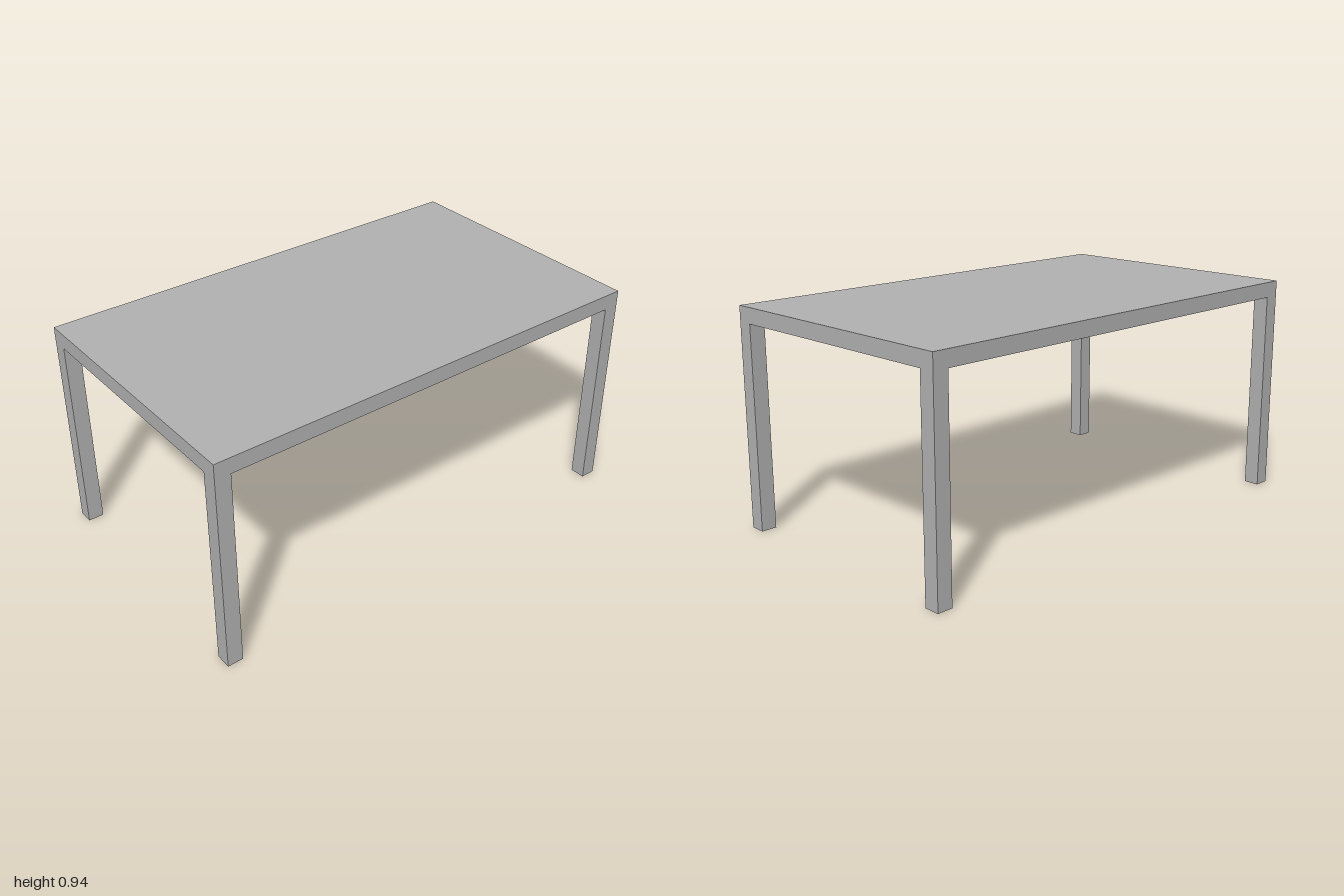
import * as THREE from 'three';

export function createModel() {
  const model = new THREE.Group();
  model.name = 'table';

  const grey = new THREE.MeshStandardMaterial({ color: 0xb2b2b2 });
  grey.name = 'grey';

  const width = 1.166, depth = 2, height = 0.935, thick = 0.067;
  const legHeight = height - thick;

  // Flat slab top
  const top = new THREE.Mesh(new THREE.BoxGeometry(width, thick, depth), grey);
  top.name = 'tableTop';
  top.position.y = height - thick / 2;
  model.add(top);

  // Four square legs, flush with the corners of the top
  const legGeometry = new THREE.BoxGeometry(thick, legHeight, thick);
  for (const [sx, side] of [[1, 'Left'], [-1, 'Right']]) {
    for (const [sz, end] of [[1, 'front'], [-1, 'back']]) {
      const leg = new THREE.Mesh(legGeometry, grey);
      leg.name = `${end}${side}Leg`;
      leg.position.set(sx * (width - thick) / 2, legHeight / 2, sz * (depth - thick) / 2);
      model.add(leg);
    }
  }

  return model;
}
